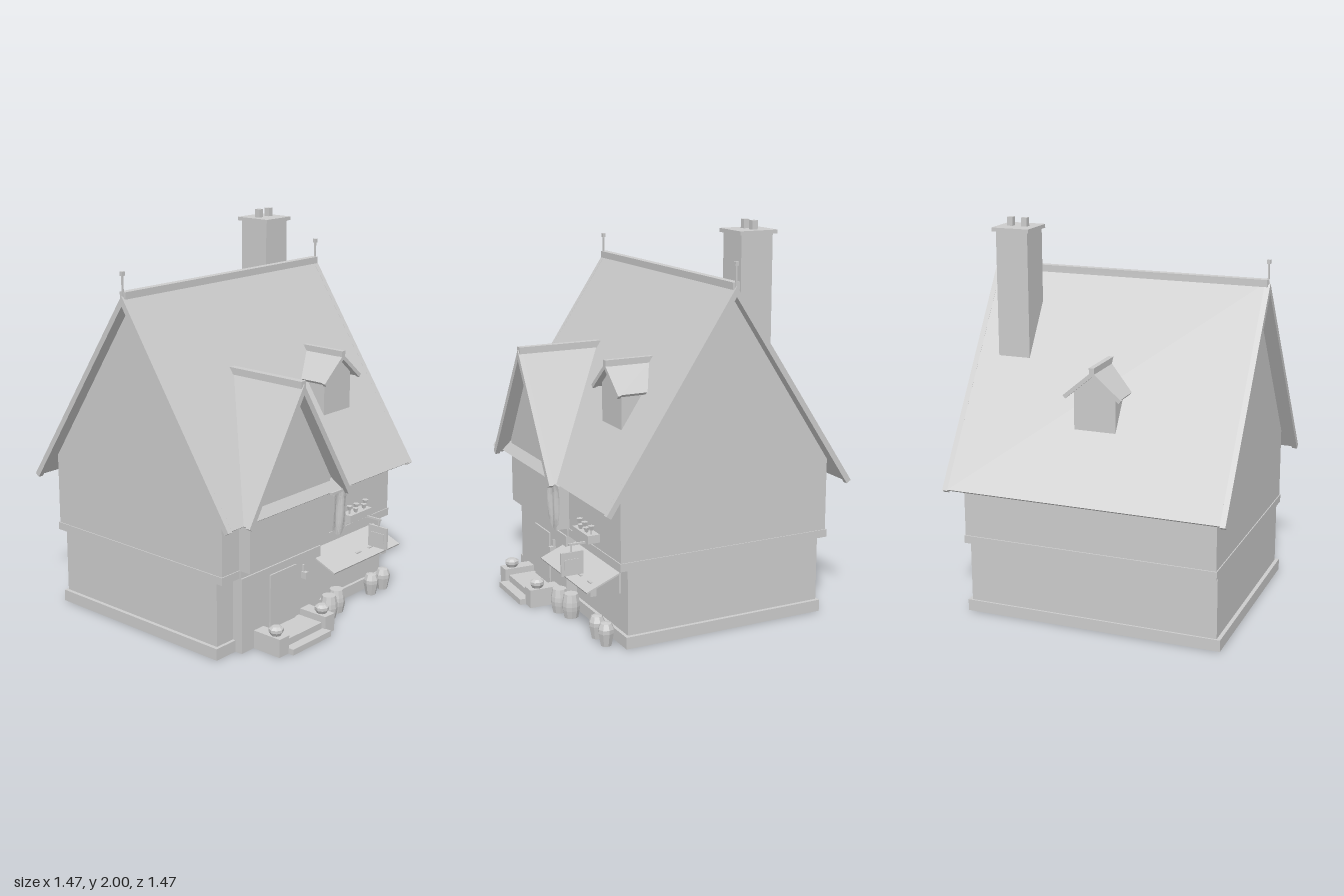
import * as THREE from 'three';

const stone = new THREE.MeshStandardMaterial({ color: 0xcccccc, flatShading: true });
stone.name = 'pale grey';
const cloth = stone;

export function createModel() {
  const root = new THREE.Group();
  root.name = 'cottage';

  const add = (name, geo, parent = root) => {
    const m = new THREE.Mesh(geo, stone);
    m.name = name;
    parent.add(m);
    return m;
  };
  // box from min/max limits on each axis
  const box = (name, x0, x1, y0, y1, z0, z1, parent) => {
    const m = add(name, new THREE.BoxGeometry(x1 - x0, y1 - y0, z1 - z0), parent);
    m.position.set((x0 + x1) / 2, (y0 + y1) / 2, (z0 + z1) / 2);
    return m;
  };
  const prism = (pts, z0, z1) => {
    const shape = new THREE.Shape(pts.map(([x, y]) => new THREE.Vector2(x, y)));
    const g = new THREE.ExtrudeGeometry(shape, { depth: z1 - z0, bevelEnabled: false });
    return g.translate(0, 0, z0);
  };
  // pair of sloping roof slabs, square cut at the eaves
  const chevron = (hw, ridge, eave, t, z0, z1) => {
    const h = ridge - eave, L = Math.hypot(hw, h);
    const ix = hw - t * h / L, iy = eave - t * hw / L;
    return prism([[0, ridge], [-hw, eave], [-ix, iy], [0, ridge - t * L / hw], [ix, iy], [hw, eave]], z0, z1);
  };

  // main walls
  box('plinth', -0.68, 0.68, 0, 0.06, -0.6, 0.497);
  box('lowerWalls', -0.66, 0.66, 0.06, 0.39, -0.59, 0.48);
  box('floorBand', -0.67, 0.67, 0.39, 0.43, -0.64, 0.523);
  const upper = add('upperWalls', prism(
    [[-0.573, 0.43], [0.578, 0.43], [0.578, 0.8], [0, 1.68], [-0.573, 0.8]], -0.665, 0.665));
  upper.rotation.y = Math.PI / 2;
  upper.position.z = -0.055;

  // main roof
  const roof = new THREE.Group();
  roof.name = 'mainRoof';
  roof.rotation.y = Math.PI / 2;
  roof.position.z = -0.055;
  root.add(roof);
  add('roofSlabs', chevron(0.675, 1.715, 0.7, 0.02, -0.707, 0.707), roof);
  for (const [a, b] of [[-0.735, -0.707], [0.707, 0.735]])
    add('bargeboard', chevron(0.678, 1.717, 0.695, 0.028, a, b), roof);
  box('ridgeCap', -0.725, 0.725, 1.7, 1.735, -0.075, -0.037);
  for (const s of [-1, 1]) {
    box('finialRod', s * 0.725 - 0.004, s * 0.725 + 0.004, 1.7, 1.815, -0.059, -0.051);
    box('finialKnob', s * 0.725 - 0.009, s * 0.725 + 0.009, 1.812, 1.832, -0.064, -0.046);
  }

  // chimney
  box('chimneyStack', 0.43, 0.6, 1.1, 1.937, -0.328, -0.155);
  box('chimneyCap', 0.417, 0.615, 1.937, 1.956, -0.345, -0.14);
  for (const x of [0.477, 0.555]) box('chimneyPot', x - 0.015, x + 0.015, 1.956, 2, -0.262, -0.232);

  // front bay with its steep gable
  box('bayLower', -0.545, 0.062, 0, 0.39, 0.4, 0.538);
  box('bayUpper', -0.545, 0.062, 0.43, 0.76, 0.4, 0.588);
  box('bayBand', -0.545, 0.062, 0.39, 0.43, 0.4, 0.53);
  const gable = new THREE.Group();
  gable.name = 'bayGable';
  gable.position.x = -0.24;
  root.add(gable);
  add('gableInfill', prism([[-0.315, 0.76], [0.315, 0.76], [0, 1.28]], 0.25, 0.588), gable);
  add('gableRoof', chevron(0.385, 1.313, 0.7, 0.02, 0.205, 0.635), gable);
  add('gableBargeboard', chevron(0.389, 1.315, 0.695, 0.028, 0.635, 0.66), gable);
  box('gableRidgeCap', -0.018, 0.018, 1.295, 1.33, 0.2, 0.655, gable);

  // dormers front and back
  const dormer = (name, x, z, turn) => {
    const g = new THREE.Group();
    g.name = name;
    g.position.set(x, 0, z);
    g.rotation.y = turn;
    root.add(g);
    add('dormerBody', prism([[-0.108, 1.0], [0.108, 1.0], [0.108, 1.22], [0, 1.31], [-0.108, 1.22]], 0.25, 0.463), g);
    add('dormerRoof', chevron(0.147, 1.325, 1.2, 0.016, 0.25, 0.482), g);
    add('dormerBargeboard', chevron(0.152, 1.326, 1.197, 0.02, 0.482, 0.5), g);
    box('dormerRidgeCap', -0.013, 0.013, 1.313, 1.345, 0.245, 0.5, g);
  };
  dormer('frontDormer', 0.343, -0.055, 0);
  dormer('backDormer', 0, -0.055, Math.PI);

  // entrance
  box('door', -0.34, -0.143, 0.065, 0.35, 0.53, 0.546);
  box('lowerStep', -0.39, -0.093, 0, 0.03, 0.53, 0.735);
  box('upperStep', -0.375, -0.108, 0.03, 0.065, 0.53, 0.685);
  box('lampPlate', -0.095, -0.073, 0.26, 0.295, 0.535, 0.57);
  box('lampArm', -0.087, -0.078, 0.295, 0.33, 0.535, 0.55);
  for (const x of [-0.42, -0.063]) {
    box('stepPedestal', x - 0.036, x + 0.036, 0, 0.095, 0.53, 0.703);
    const pot = add('stepPlanter', new THREE.LatheGeometry(
      [[0, 0], [0.026, 0], [0.037, 0.018], [0.037, 0.033], [0.02, 0.045], [0, 0.045]].map(p => new THREE.Vector2(...p)), 8));
    pot.position.set(x, 0.095, 0.65);
  }

  // shop counter, sloping awning and its brackets
  box('shopWindow', 0.062, 0.585, 0.25, 0.35, 0.47, 0.49);
  const awning = add('awning', new THREE.BoxGeometry(0.565, 0.008, 0.19));
  awning.position.set(0.303, 0.315, 0.572);
  awning.rotation.x = 0.39;
  for (const x of [0.29, 0.395, 0.51]) box('awningLamp', x - 0.02, x + 0.02, 0.235, 0.308, 0.583, 0.615);

  // hanging sign
  box('signArm', 0.394, 0.404, 0.462, 0.472, 0.515, 0.67);
  box('signHanger', 0.396, 0.402, 0.43, 0.465, 0.652, 0.658);
  box('signBoard', 0.393, 0.405, 0.312, 0.43, 0.595, 0.712);
  box('signPanel', 0.389, 0.409, 0.345, 0.395, 0.615, 0.695);

  // flower box
  box('flowerBox', 0.25, 0.435, 0.467, 0.508, 0.52, 0.583);
  [[0.277, 0.54], [0.315, 0.522], [0.335, 0.538], [0.385, 0.526], [0.413, 0.54]].forEach(([x, y], i) => {
    const z = 0.555 + (i % 2) * 0.012;
    box('flowerStem', x - 0.003, x + 0.003, 0.5, y, z - 0.003, z + 0.003);
    const bloom = add('flower', new THREE.CylinderGeometry(0.017, 0.009, 0.022, 6));
    bloom.position.set(x, y, z);
  });

  // rippled pennant with pole and brace
  const flag = new THREE.PlaneGeometry(0.12, 0.255, 12, 6);
  const p = flag.attributes.position;
  for (let i = 0; i < p.count; i++) {
    const x = p.getX(i), v = (0.1275 - p.getY(i)) / 0.255;
    const len = 0.255 - 0.05 * Math.abs(x) / 0.06;
    p.setXYZ(i, x, -v * len, 0.009 * Math.sin(x * 80) * Math.sin(v * Math.PI));
  }
  flag.computeVertexNormals();
  const flagMat = cloth.clone();
  flagMat.side = THREE.DoubleSide;
  const pennant = add('pennant', flag);
  pennant.material = flagMat;
  pennant.position.set(0.105, 0.7, 0.622);
  box('pennantPole', 0.03, 0.19, 0.688, 0.7, 0.615, 0.63);
  const brace = add('pennantBrace', new THREE.BoxGeometry(0.01, 0.01, 0.1));
  brace.position.set(0.105, 0.665, 0.555);
  brace.rotation.x = -0.75;

  // barrels and urns along the wall
  const lathe = (name, pts, n, x, z) => {
    const m = add(name, new THREE.LatheGeometry(pts.map(q => new THREE.Vector2(...q)), n));
    m.position.set(x, 0, z);
  };
  const barrel = [[0, 0], [0.036, 0], [0.044, 0.04], [0.046, 0.062], [0.044, 0.085], [0.036, 0.125], [0, 0.125]];
  lathe('barrel', barrel, 10, 0.078, 0.585);
  lathe('barrel', barrel, 10, 0.172, 0.562);
  const urn = [[0, 0], [0.027, 0], [0.04, 0.065], [0.04, 0.085], [0.028, 0.113], [0, 0.118]];
  lathe('urn', urn, 8, 0.478, 0.56);
  lathe('urn', urn, 8, 0.583, 0.56);

  return root;
}
